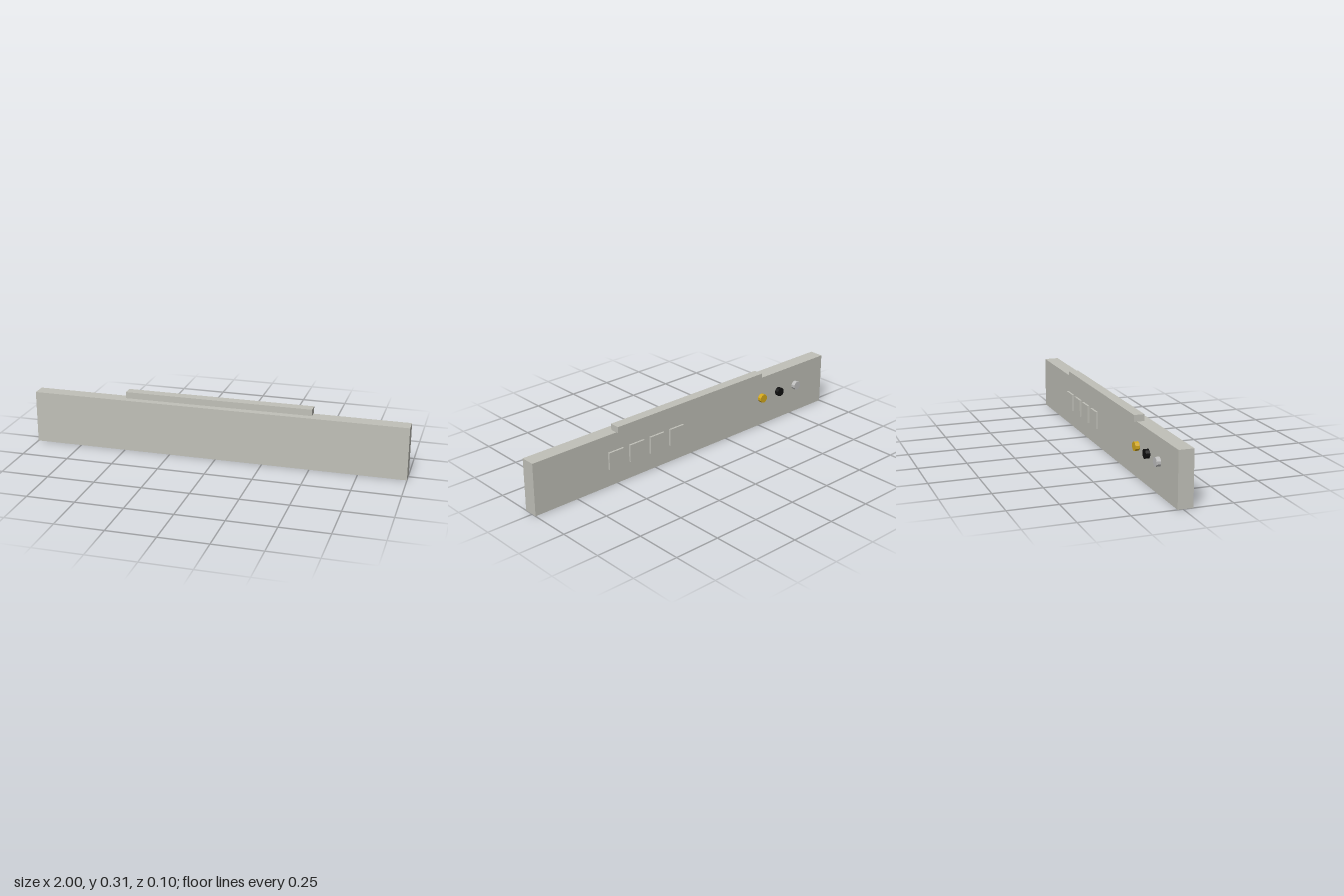
import * as THREE from 'three';

export function createModel() {
  const model = new THREE.Group();
  const material = (name, color) => {
    const m = new THREE.MeshStandardMaterial({ color });
    m.name = name;
    return m;
  };
  const grey = material('warm grey', 0xc0c0b8);
  const gold = material('gold', 0xd4a91c);
  const black = material('black', 0x111111);
  const silver = material('silver', 0xc0c0c0);

  const add = (name, geometry, mat, x, y, z) => {
    const mesh = new THREE.Mesh(geometry, mat);
    mesh.name = name;
    mesh.position.set(x, y, z);
    model.add(mesh);
  };
  // Box given by its limits on each axis
  const box = (name, x0, x1, y0, y1, z0, z1) =>
    add(name, new THREE.BoxGeometry(x1 - x0, y1 - y0, z1 - z0), grey,
      (x0 + x1) / 2, (y0 + y1) / 2, (z0 + z1) / 2);

  // Long slab and the bar on top, overhanging the back
  box('body', -1, 1, 0, 0.279, -0.027, 0.05);
  box('topBar', -0.5, 0.5, 0.279, 0.313, -0.043, 0.011);

  // Four square buttons on the back
  for (let i = 0; i < 4; i++) {
    const x = 0.508 - i * 0.133;
    box('button' + (i + 1), x - 0.0465, x + 0.0465, 0.093, 0.186, -0.038, -0.027);
  }

  // Three ten-sided sockets on the back
  const socket = new THREE.CylinderGeometry(0.024, 0.024, 0.022, 10)
    .rotateX(Math.PI / 2).toNonIndexed();
  socket.computeVertexNormals();
  [['goldSocket', gold], ['blackSocket', black], ['silverSocket', silver]].forEach(
    ([name, mat], i) => add(name, socket, mat, -0.515 - i * 0.133, 0.162, -0.038));

  return model;
}
